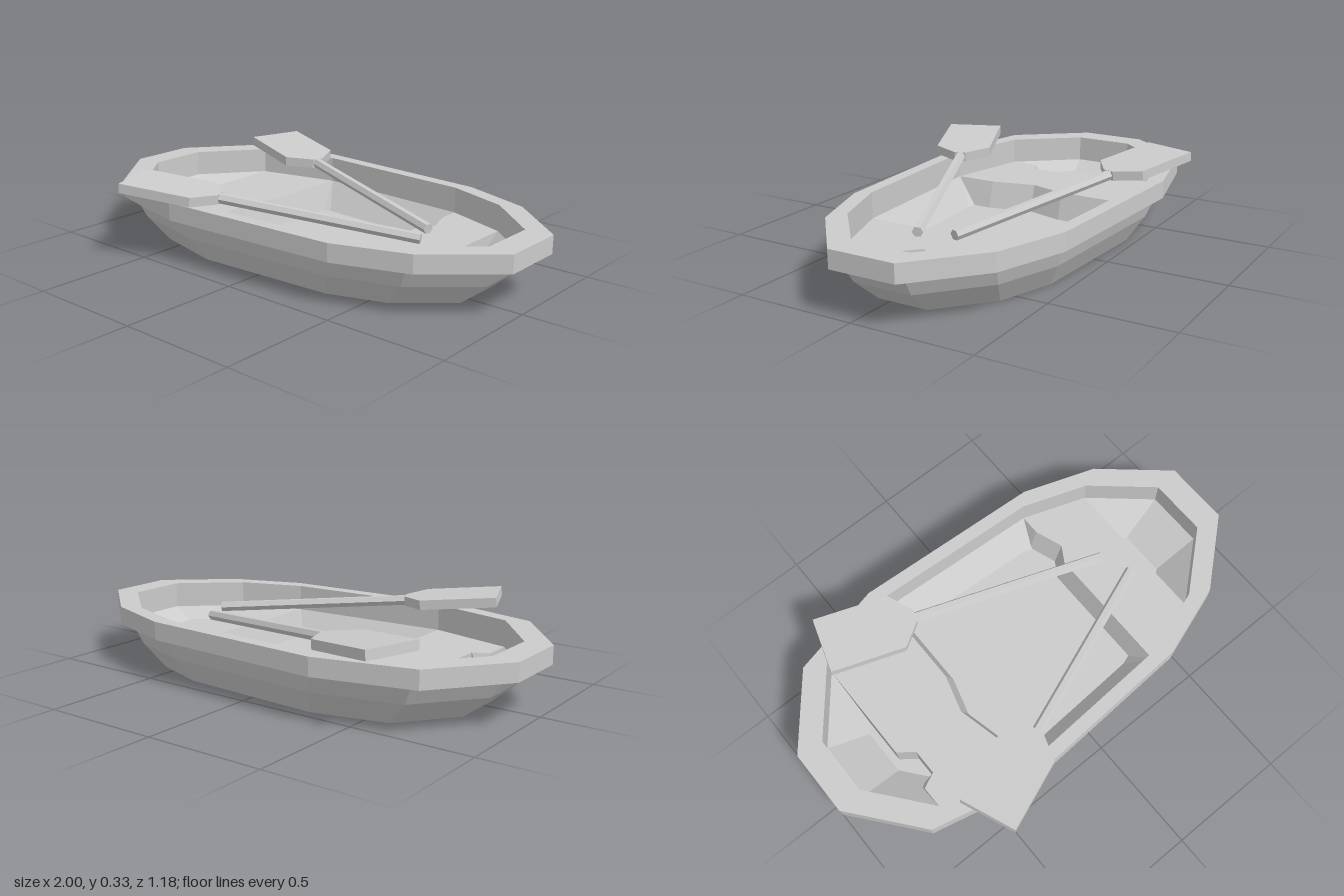
import * as THREE from 'three';

const grey = new THREE.MeshStandardMaterial({ color: 0xcccccc, flatShading: true });
const MID_Z = -0.055;   // centre line of the boat
const BENCH_Y = 0.145;  // bench tops, level with the foot of the rim's inner wall
const FLOOR_Y = 0.03;

// Half of the plan outline, mirrored across the centre line
const half = [[1, 0.14], [0.735, 0.37], [0.43, 0.475], [-0.37, 0.52], [-0.77, 0.425], [-1, 0.14]];
const outline = [...half, ...half.map(([x, z]) => [x, -z]).reverse()];

function addMesh(parent, name, geometry) {
  const mesh = new THREE.Mesh(geometry, grey);
  mesh.name = name;
  parent.add(mesh);
}

// Faceted skin through scaled copies of the outline; profile = [scale, y]
function loft(profile) {
  const pos = [];
  const at = (i, [s, y]) => {
    const [x, z] = outline[i % outline.length];
    return [x * s, y, z * s];
  };
  for (let k = 0; k < profile.length - 1; k++) {
    const lo = profile[k], hi = profile[k + 1];
    for (let i = 0; i < outline.length; i++) {
      if (lo[0] > 0) pos.push(...at(i, lo), ...at(i, hi), ...at(i + 1, lo));
      if (hi[0] > 0) pos.push(...at(i + 1, lo), ...at(i, hi), ...at(i + 1, hi));
    }
  }
  const g = new THREE.BufferGeometry();
  g.setAttribute('position', new THREE.Float32BufferAttribute(pos, 3));
  g.computeVertexNormals();
  return g;
}

// Flat plan polygon of [x, z] points, extruded upwards
function slab(points, height) {
  const shape = new THREE.Shape(points.map(([x, z]) => new THREE.Vector2(x, -z)));
  return new THREE.ExtrudeGeometry(shape, { depth: height, bevelEnabled: false }).rotateX(-Math.PI / 2);
}

// Bench: the side facing amidships slopes outwards, the ends follow the hull
function bench(points, centreX) {
  const foot = FLOOR_Y - 0.01;
  const g = slab(points, BENCH_Y - foot).translate(0, foot, 0);
  const p = g.attributes.position;
  for (let i = 0; i < p.count; i++) {
    if (p.getY(i) > FLOOR_Y) continue;
    const inner = Math.abs(p.getX(i)) < Math.abs(centreX);
    const x = p.getX(i) - (inner ? Math.sign(centreX) * 0.036 : 0);
    const limit = 0.5 - 0.42 * Math.abs(x);
    const z = THREE.MathUtils.clamp(p.getZ(i) - MID_Z, -limit, limit) + MID_Z;
    p.setXYZ(i, x, foot, z);
  }
  g.computeVertexNormals();
  return g;
}

// Oar along local +x, starting at the blade's outer edge
function oar(name, x, y, z, tipX, tipZ) {
  const group = new THREE.Group();
  group.name = name;
  const blade = slab([[0, -0.12], [0.315, -0.12], [0.395, -0.025], [0.395, 0.025], [0.315, 0.12], [0, 0.12]], 0.04);
  addMesh(group, 'oarBlade', blade.translate(0, -0.02, 0));
  const length = Math.hypot(tipX - x, tipZ - z);
  const shaft = new THREE.CylinderGeometry(0.022, 0.022, length - 0.38, 6).rotateZ(Math.PI / 2);
  addMesh(group, 'oarShaft', shaft.translate((length + 0.38) / 2, 0, 0));
  group.position.set(x, y, z);
  group.rotation.set(0, Math.atan2(z - tipZ, tipX - x), -0.093, 'YXZ');
  return group;
}

export function createModel() {
  const boat = new THREE.Group();
  boat.name = 'rowingBoat';

  // Shell
  const shell = new THREE.Group();
  shell.name = 'shell';
  shell.position.z = MID_Z;
  addMesh(shell, 'hull', loft([[0, 0], [0.77, 0], [0.887, 0.1], [0.94, 0.18]]));
  addMesh(shell, 'rim', loft([[0.94, 0.18], [1, 0.18], [1, 0.255], [0.89, 0.255]]));
  addMesh(shell, 'interior', loft([[0.89, 0.255], [0.89, BENCH_Y], [0.715, FLOOR_Y], [0, FLOOR_Y]]));
  boat.add(shell);

  // Benches with chipped edges
  addMesh(boat, 'wideBench', bench([
    [-0.33, -0.517], [-0.33, -0.12], [-0.375, 0.04], [-0.33, 0.23], [-0.33, 0.407],
    [-0.685, 0.322], [-0.685, 0.2], [-0.62, 0.17], [-0.62, 0.06], [-0.685, 0.01], [-0.685, -0.432],
  ], -0.5));
  addMesh(boat, 'narrowBench', bench([
    [0.383, -0.477], [0.383, -0.39], [0.425, -0.27], [0.383, -0.2], [0.383, 0.367],
    [0.654, 0.273], [0.654, 0.05], [0.58, -0.02], [0.654, -0.08], [0.654, -0.383],
  ], 0.52));

  // Oars resting across the rim
  boat.add(oar('frontOar', -0.577, 0.312, 0.475, 0.565, 0.02));
  boat.add(oar('backOar', -0.663, 0.306, -0.481, 0.51, -0.105));
  return boat;
}
